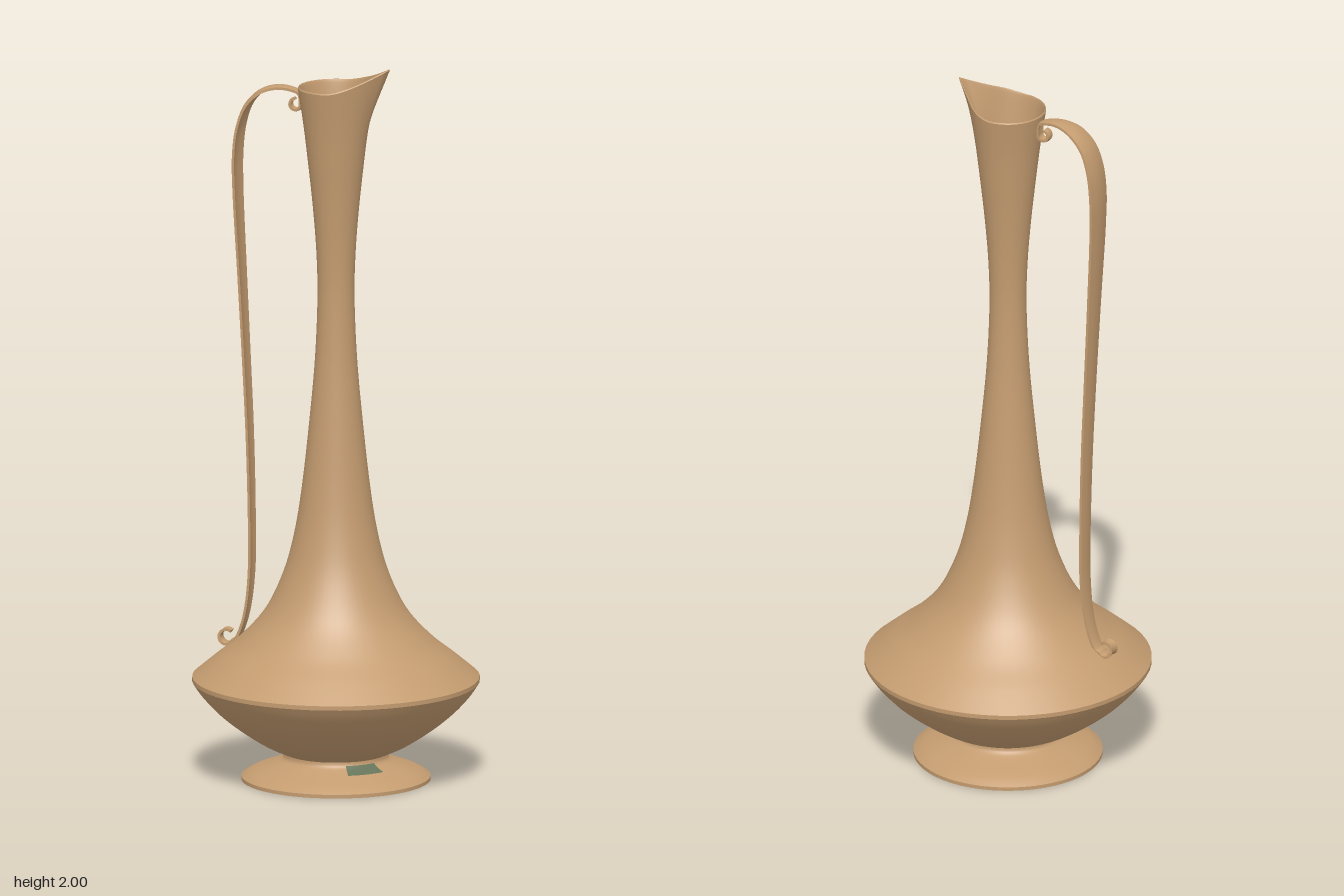
import * as THREE from 'three';
import { mergeVertices } from 'three/addons/utils/BufferGeometryUtils.js';

const SEGMENTS = 56;
const RIM_Y = 1.94, RIM_R = 0.105, TIP_X = 0.155;

// Smooth profile through [radius, height] points
function profile(points, divisions) {
  const curve = new THREE.SplineCurve(points.map(([r, y]) => new THREE.Vector2(r, y)));
  return curve.getPoints(divisions).map((p) => new THREE.Vector2(Math.max(p.x, 0), p.y));
}

// Pull the top of the neck into a pointed, rising spout towards +x
function shapeSpout(geometry) {
  const p = geometry.attributes.position;
  const tangentAngle = Math.acos(RIM_R / TIP_X);
  for (let i = 0; i < p.count; i++) {
    const x = p.getX(i), y = p.getY(i), z = p.getZ(i);
    const t = THREE.MathUtils.clamp((y - 1.74) / (RIM_Y - 1.74), 0, 1) ** 3;
    if (t === 0) continue;
    const angle = Math.abs(Math.atan2(z, x));
    const teardrop = 1 / Math.cos(Math.max(0, tangentAngle - angle));
    const k = 1 + (teardrop - 1) * t;
    const lift = 0.06 * t * Math.max(0, (x * k) / TIP_X) ** 1.5;
    p.setXYZ(i, x * k, y + lift, z * k);
  }
}

function turned(points) {
  let geometry = new THREE.LatheGeometry(points, SEGMENTS);
  shapeSpout(geometry);
  // Weld the seam so that shading runs smoothly all round
  geometry.deleteAttribute('uv');
  geometry.deleteAttribute('normal');
  geometry = mergeVertices(geometry, 1e-5);
  geometry.computeVertexNormals();
  return geometry;
}

// Strap swept along a path of [x, y, half width]
function strapGeometry(path, thickness) {
  const curve = new THREE.CatmullRomCurve3(path.map((p) => new THREE.Vector3(...p)));
  const geometry = new THREE.BoxGeometry(1, 1, 1, 220, 1, 4);
  const p = geometry.attributes.position;
  for (let i = 0; i < p.count; i++) {
    const u = p.getX(i) + 0.5, side = p.getZ(i) * 2;
    const c = curve.getPoint(u);
    const t = curve.getTangent(u);
    const length = Math.hypot(t.x, t.y);
    // Slightly dished across its width
    const offset = p.getY(i) * thickness + side * side * c.z * 0.15;
    p.setXYZ(i, c.x - (t.y / length) * offset, c.y + (t.x / length) * offset, side * c.z);
  }
  geometry.computeVertexNormals();
  return geometry;
}

// Points of a curl around a centre, between two angles in degrees
function curl(cx, cy, r, from, to, w0, w1) {
  const count = 9;
  return Array.from({ length: count }, (_, i) => {
    const f = i / (count - 1);
    const a = THREE.MathUtils.degToRad(from + (to - from) * f);
    return [cx + r * Math.cos(a), cy + r * Math.sin(a), w0 + (w1 - w0) * f];
  });
}

export function createModel() {
  const group = new THREE.Group();
  const bronze = new THREE.MeshStandardMaterial({ color: 0xc49c70 });
  bronze.name = 'bronze';
  const patina = new THREE.MeshStandardMaterial({ color: 0x66745a });
  patina.name = 'green patina';

  function add(name, geometry, material = bronze) {
    const mesh = new THREE.Mesh(geometry, material);
    mesh.name = name;
    group.add(mesh);
  }

  // Foot
  const base = new THREE.CircleGeometry(0.26, SEGMENTS);
  base.rotateX(Math.PI / 2);
  add('footUnderside', base);
  add('footEdge', turned([new THREE.Vector2(0.26, 0), new THREE.Vector2(0.26, 0.01)]));
  const footPoints = [[0.26, 0.01], [0.235, 0.025], [0.195, 0.04], [0.16, 0.053], [0.145, 0.063], [0.142, 0.075]];
  add('foot', turned(profile(footPoints, 16)));

  // Belly underside, its rounded rim, and the shoulder running up into the neck
  add('belly', turned(profile([[0.142, 0.075], [0.2, 0.102], [0.265, 0.144], [0.325, 0.192], [0.37, 0.24], [0.395, 0.276]], 24)));
  add('bellyRim', turned([new THREE.Vector2(0.395, 0.276), new THREE.Vector2(0.395, 0.288)]));
  add('shoulderAndNeck', turned(profile([
    [0.395, 0.288], [0.335, 0.338], [0.265, 0.395], [0.195, 0.475], [0.145, 0.58], [0.115, 0.69],
    [0.094, 0.82], [0.074, 1.0], [0.058, 1.18], [0.051, 1.35], [0.054, 1.48], [0.064, 1.61],
    [0.078, 1.74], [0.09, 1.84], [RIM_R, RIM_Y],
  ], 84)));

  // Inside of the neck, with a green band, and the hollow below
  add('mouthLining', turned(profile([[RIM_R, RIM_Y], [0.099, 1.935], [0.083, 1.84], [0.07, 1.74], [0.065, 1.7]], 24)));
  add('neckLining', turned(profile([[0.065, 1.7], [0.056, 1.61], [0.046, 1.48], [0.042, 1.35]], 16)), patina);
  add('hollow', turned(profile([
    [0.042, 1.35], [0.05, 1.18], [0.066, 1.0], [0.086, 0.82], [0.135, 0.58], [0.25, 0.395],
    [0.375, 0.285], [0.31, 0.195], [0.19, 0.112], [0.1, 0.095], [0, 0.095],
  ], 60)));

  // Green patch on the foot, between the front and the spout side
  const patch = new THREE.LatheGeometry(
    profile([[0.184, 0.0465], [0.162, 0.0555], [0.147, 0.066]], 6), 10, Math.PI / 4 - 0.3, 0.6);
  add('footPatch', patch, patina);

  // Strap handle with a curl at each end
  add('handle', strapGeometry([
    ...curl(-0.115, 1.888, 0.017, 100, 370, 0.011, 0.014),
    [-0.102, 1.92, 0.015], [-0.13, 1.932, 0.018], [-0.17, 1.935, 0.024], [-0.215, 1.921, 0.033],
    [-0.255, 1.882, 0.038], [-0.279, 1.82, 0.042], [-0.289, 1.74, 0.043], [-0.288, 1.64, 0.04],
    [-0.276, 1.42, 0.034], [-0.263, 1.18, 0.03], [-0.252, 0.95, 0.028], [-0.246, 0.72, 0.026],
    [-0.246, 0.58, 0.025], [-0.255, 0.48, 0.023], [-0.27, 0.415, 0.022], [-0.287, 0.378, 0.021],
    ...curl(-0.312, 0.381, 0.018, -30, -310, 0.02, 0.013),
  ], 0.007));

  return group;
}
